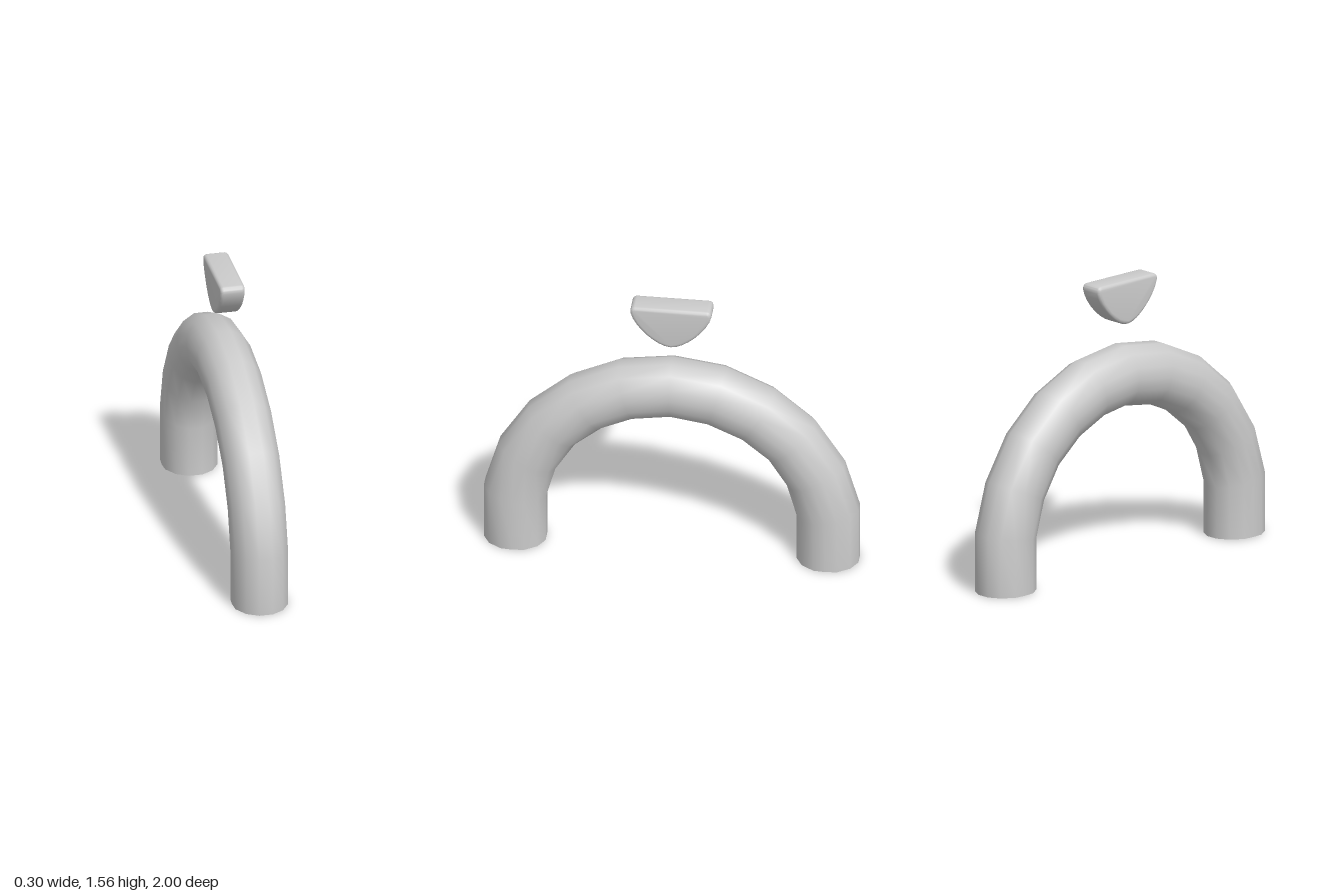
import * as THREE from 'three';
import { toCreasedNormals } from 'three/addons/utils/BufferGeometryUtils.js';

const material = new THREE.MeshStandardMaterial({ color: 0xcccccc });

// Half arch as [outer z, outer y, inner z, inner y], from the foot to the crown
const HALF_ARCH = [
  [1, 0, 0.67, 0],
  [1, 0.327, 0.67, 0.278],
  [0.92, 0.6, 0.618, 0.465],
  [0.763, 0.845, 0.515, 0.631],
  [0.548, 1.029, 0.368, 0.753],
  [0.283, 1.151, 0.193, 0.832],
  [0, 1.191, 0, 0.862],
];

// Quarter of the oval section: x, and fraction of the half thickness
const QUARTER = [[0.148, 0], [0.143, 0.38], [0.1, 0.785], [0.037, 1]];

function archGeometry() {
  const mirrored = HALF_ARCH.slice(0, -1).reverse().map(([oz, oy, iz, iy]) => [-oz, oy, -iz, iy]);
  const stations = [...HALF_ARCH, ...mirrored];
  const upper = [...QUARTER, ...QUARTER.slice().reverse().map(([x, v]) => [-x, v])];
  const loop = [...upper, ...upper.slice(1, -1).map(([x, v]) => [-x, -v])];
  const n = loop.length;
  const positions = [];
  const index = [];

  const ring = ([oz, oy, iz, iy]) => {
    for (const [x, v] of loop) {
      const t = (v + 1) / 2;
      positions.push(x, iy + (oy - iy) * t, iz + (oz - iz) * t);
    }
  };

  // Tube skin
  stations.forEach(ring);
  for (let s = 0; s < stations.length - 1; s++) {
    for (let j = 0; j < n; j++) {
      const k = (j + 1) % n;
      const a = s * n + j, b = s * n + k, c = b + n, d = a + n;
      index.push(a, d, c, a, c, b);
    }
  }

  // Flat feet with their own vertices, so the rim stays sharp
  [stations[0], stations[stations.length - 1]].forEach((station, end) => {
    const base = positions.length / 3;
    ring(station);
    for (let j = 1; j < n - 1; j++) {
      if (end) index.push(base, base + j + 1, base + j);
      else index.push(base, base + j, base + j + 1);
    }
  });

  const geometry = new THREE.BufferGeometry();
  geometry.setAttribute('position', new THREE.Float32BufferAttribute(positions, 3));
  geometry.setIndex(index);
  geometry.computeVertexNormals();
  return geometry;
}

// Flat-topped wedge with a rounded belly, extruded across x
function wedgeGeometry() {
  const bevel = 0.018, width = 0.134;
  const shape = new THREE.Shape();
  shape.moveTo(-0.19, 1.557);
  shape.quadraticCurveTo(-0.22, 1.555, -0.216, 1.52);
  shape.bezierCurveTo(-0.2, 1.44, -0.08, 1.315, 0, 1.315);
  shape.bezierCurveTo(0.08, 1.315, 0.2, 1.44, 0.216, 1.52);
  shape.quadraticCurveTo(0.22, 1.555, 0.19, 1.557);
  shape.closePath();
  const geometry = new THREE.ExtrudeGeometry(shape, {
    depth: width - 2 * bevel,
    bevelThickness: bevel,
    bevelSize: bevel,
    bevelOffset: -bevel,
    bevelSegments: 3,
    curveSegments: 8,
  });
  geometry.translate(0, 0, bevel - width / 2);
  geometry.rotateY(Math.PI / 2);
  return toCreasedNormals(geometry, 0.6);
}

export function createModel() {
  const model = new THREE.Group();
  model.name = 'archWithFloatingWedge';
  const parts = { arch: archGeometry(), floatingWedge: wedgeGeometry() };
  for (const [name, geometry] of Object.entries(parts)) {
    const mesh = new THREE.Mesh(geometry, material);
    mesh.name = name;
    model.add(mesh);
  }
  return model;
}
